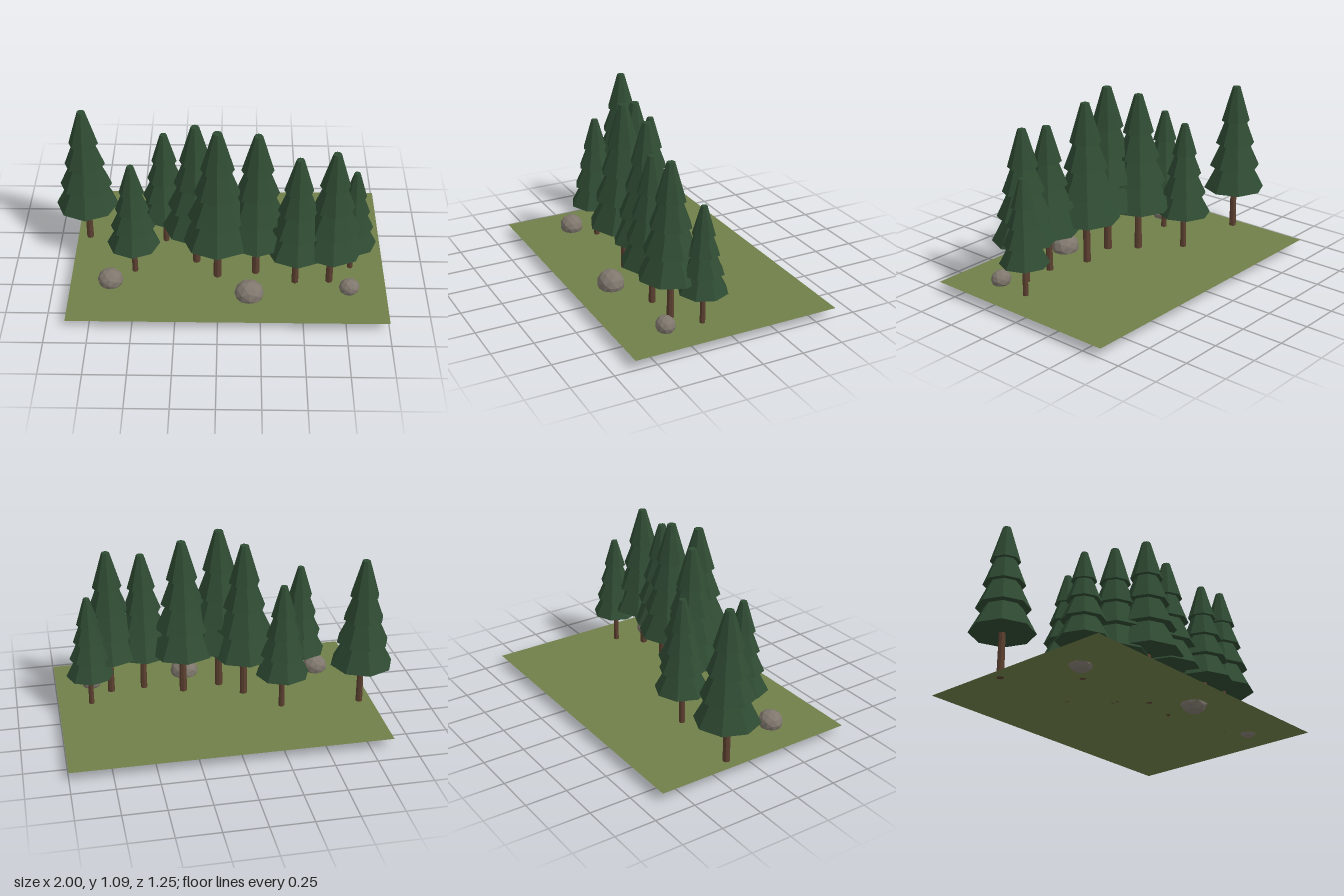
import * as THREE from 'three';

const mat = (name, color, extra = {}) => {
  const m = new THREE.MeshStandardMaterial({ color, flatShading: true, ...extra });
  m.name = name;
  return m;
};

const GROUND_Y = 0.06;

// x, z, height of each tree
const TREES = [
  [-0.81, -0.155, 0.93], [-0.505, 0.17, 0.775], [-0.33, -0.125, 0.795],
  [-0.135, 0.075, 0.985], [-0.005, 0.21, 1.035], [0.225, 0.175, 0.995],
  [0.46, 0.26, 0.895], [0.665, 0.25, 0.93], [0.8, 0.12, 0.705],
];

// bottom height, cone height, bottom radius of each foliage tier, for a tree of height 1
const TIERS = [
  [0.285, 0.285, 0.204], [0.445, 0.27, 0.169],
  [0.604, 0.255, 0.131], [0.763, 0.237, 0.095],
];

// x, y, z and half sizes of each rock
const ROCKS = [
  [-0.645, 0.088, 0.285, 0.077, 0.068, 0.072],
  [0.185, 0.084, 0.392, 0.088, 0.081, 0.08],
  [0.78, 0.09, 0.34, 0.062, 0.055, 0.056],
];

function makeTree(height, bark, needles) {
  const tree = new THREE.Group();
  tree.name = 'tree';

  const trunk = new THREE.Mesh(new THREE.CylinderGeometry(0.019, 0.023, 0.4, 8), bark);
  trunk.name = 'trunk';
  trunk.position.y = 0.2;
  tree.add(trunk);

  // stacked, truncated eight-sided cones
  for (const [bottom, h, r] of TIERS) {
    const tier = new THREE.Mesh(new THREE.CylinderGeometry(r * 0.27, r, h, 8), needles);
    tier.name = 'foliageTier';
    tier.position.y = bottom + h / 2;
    tree.add(tier);
  }
  tree.scale.setScalar(height);
  return tree;
}

export function createModel() {
  const model = new THREE.Group();
  model.name = 'pineGrove';

  const grass = mat('grass', 0x6f7f49, { side: THREE.DoubleSide });
  const bark = mat('bark', 0x5c4030);
  const needles = mat('needles', 0x2f4b33);
  const stone = mat('stone', 0x80786e);

  // flat patch of ground
  const ground = new THREE.Mesh(new THREE.PlaneGeometry(1.885, 1.255), grass);
  ground.name = 'ground';
  ground.rotation.x = -Math.PI / 2;
  ground.position.set(0.0575, GROUND_Y, 0);
  model.add(ground);

  for (const [x, z, height] of TREES) {
    const tree = makeTree(height, bark, needles);
    tree.position.set(x, GROUND_Y, z);
    model.add(tree);
  }

  // faceted rocks, half sunk in the ground
  for (const [x, y, z, rx, ry, rz] of ROCKS) {
    const rock = new THREE.Mesh(new THREE.IcosahedronGeometry(1, 1), stone);
    rock.name = 'rock';
    rock.scale.set(rx, ry, rz);
    rock.position.set(x, y, z);
    model.add(rock);
  }
  return model;
}
